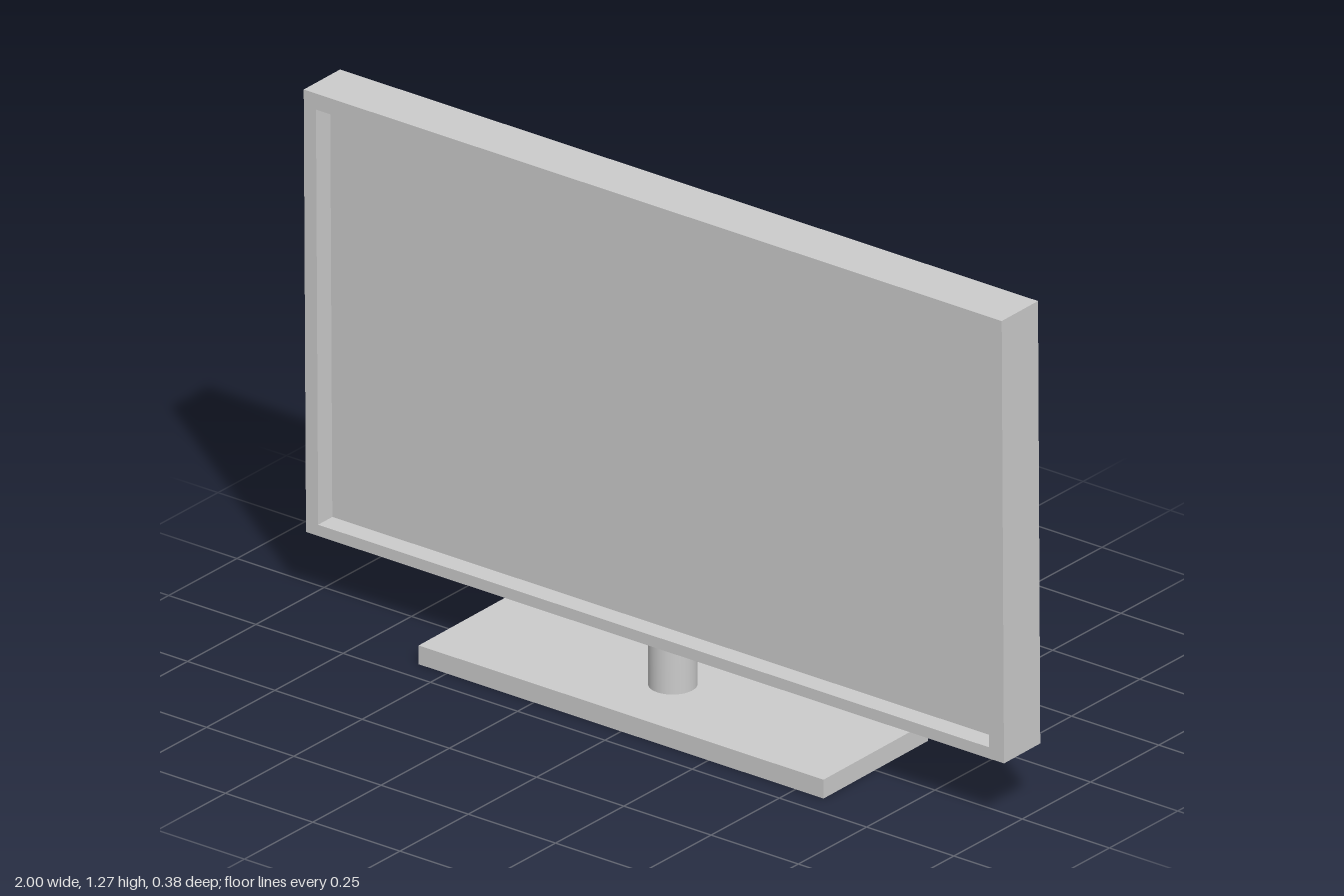
import * as THREE from 'three';

const material = new THREE.MeshStandardMaterial({ color: 0xcccccc });

function addPart(parent, name, geometry, x, y, z) {
  const mesh = new THREE.Mesh(geometry, material);
  mesh.name = name;
  mesh.position.set(x, y, z);
  parent.add(mesh);
}

function rectangle(path, x0, y0, x1, y1) {
  path.moveTo(x0, y0);
  path.lineTo(x1, y0);
  path.lineTo(x1, y1);
  path.lineTo(x0, y1);
  path.closePath();
  return path;
}

export function createModel() {
  const bottom = 0.162, top = 1.267, depth = 0.133, recess = 0.052;
  const front = depth / 2 - 0.001;
  const housingDepth = depth - recess;

  const monitor = new THREE.Group();
  monitor.name = 'monitor';
  // the whole monitor leans very slightly forward
  monitor.rotation.x = 0.0075;
  monitor.position.y = 0.0015;

  // raised border around the recessed screen
  const border = rectangle(new THREE.Shape(), -1, bottom, 1, top);
  border.holes.push(rectangle(new THREE.Path(), -0.965, 0.19, 0.957, 1.227));
  addPart(monitor, 'bezel',
    new THREE.ExtrudeGeometry(border, { depth: recess, bevelEnabled: false }),
    0, 0, front - recess);

  // screen face and back housing
  addPart(monitor, 'screenHousing',
    new THREE.BoxGeometry(2, top - bottom, housingDepth),
    0, (top + bottom) / 2, front - recess - housingDepth / 2);

  // stand
  addPart(monitor, 'standNeck',
    new THREE.CylinderGeometry(0.056, 0.056, 0.116, 32), 0, 0.105, 0.001);
  addPart(monitor, 'standBase',
    new THREE.BoxGeometry(1.16, 0.047, 0.383), 0, 0.0235, -0.001);

  const model = new THREE.Group();
  model.add(monitor);
  return model;
}
